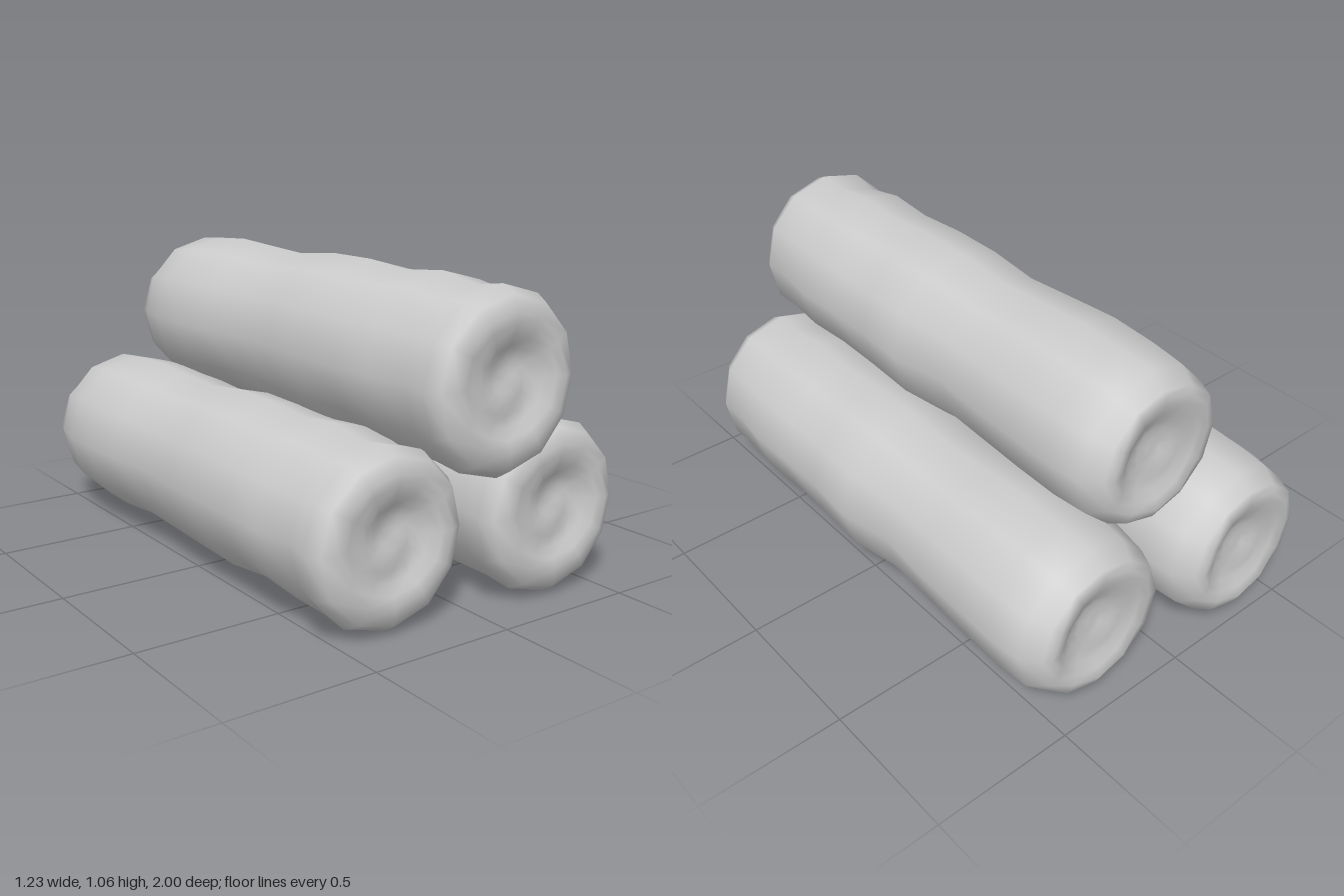
import * as THREE from 'three';
import { mergeVertices } from 'three/addons/utils/BufferGeometryUtils.js';

const SIDES = 12;

// Bark sections, front to back: [z, radius toward +x, +y, -x, -y]
const SECTIONS = [
  [0.91, 0.25, 0.26, 0.27, 0.27],
  [0.86, 0.28, 0.285, 0.295, 0.30],
  [0.75, 0.28, 0.27, 0.265, 0.295],
  [0.60, 0.30, 0.295, 0.29, 0.285],
  [0.42, 0.295, 0.28, 0.288, 0.27],
  [0.23, 0.292, 0.295, 0.285, 0.295],
  [0.03, 0.305, 0.295, 0.28, 0.29],
  [-0.17, 0.268, 0.275, 0.27, 0.285],
  [-0.37, 0.285, 0.285, 0.29, 0.27],
  [-0.55, 0.29, 0.295, 0.30, 0.285],
  [-0.72, 0.295, 0.285, 0.295, 0.285],
  [-0.85, 0.285, 0.275, 0.268, 0.28],
  [-0.91, 0.235, 0.23, 0.25, 0.25],
];

// Dished end face, centre to rim: [radius, z]
const CAP = [[0, 0.88], [0.035, 0.882], [0.07, 0.886], [0.105, 0.892], [0.14, 0.903], [0.175, 0.916], [0.21, 0.924]];

// Ring of a bark section, blending its four radii around the circle
function barkRing([z, px, py, nx, ny]) {
  return (a) => {
    const c = Math.cos(a), s = Math.sin(a);
    const r = c * c * (c > 0 ? px : nx) + s * s * (s > 0 ? py : ny);
    return [r * c, r * s, z];
  };
}

// Ring of an end face, with a shallow spiral groove and an uneven rim
function capRing([r, z], end) {
  return (a) => {
    const groove = 0.011 * Math.sin(Math.PI * Math.min(r / 0.2, 1)) * Math.cos(a + 30 * r);
    const rim = 0.007 * (r / 0.21) * Math.cos(3 * a + end);
    return [r * Math.cos(a), r * Math.sin(a), end * (z + groove + rim)];
  };
}

function logGeometry() {
  const rings = [
    ...CAP.map((c) => capRing(c, 1)),
    ...SECTIONS.map(barkRing),
    ...[...CAP].reverse().map((c) => capRing(c, -1)),
  ];
  const positions = [], index = [];
  rings.forEach((ring, i) => {
    for (let j = 0; j < SIDES; j++) {
      positions.push(...ring((j / SIDES) * Math.PI * 2));
      if (i === rings.length - 1) continue;
      const a = i * SIDES + j, b = i * SIDES + ((j + 1) % SIDES);
      const c = a + SIDES, d = b + SIDES;
      if (i > 0) index.push(a, c, b);
      if (i < rings.length - 2) index.push(b, c, d);
    }
  });
  const geometry = new THREE.BufferGeometry();
  geometry.setAttribute('position', new THREE.Float32BufferAttribute(positions, 3));
  geometry.setIndex(index);
  const merged = mergeVertices(geometry, 1e-5);
  merged.computeVertexNormals();
  return merged;
}

export function createModel() {
  const group = new THREE.Group();
  group.name = 'logPile';
  const geometry = logGeometry();
  const material = new THREE.MeshStandardMaterial({ color: 0xcccccc });

  // Two logs on the ground and one on top, each slid a little lengthwise
  const logs = [
    ['topLog', 0, 0.763, 0.07],
    ['leftLog', 0.31, 0.302, -0.025],
    ['rightLog', -0.31, 0.302, -0.07],
  ];
  for (const [name, x, y, z] of logs) {
    const log = new THREE.Mesh(geometry, material);
    log.name = name;
    log.position.set(x, y, z);
    group.add(log);
  }
  return group;
}
